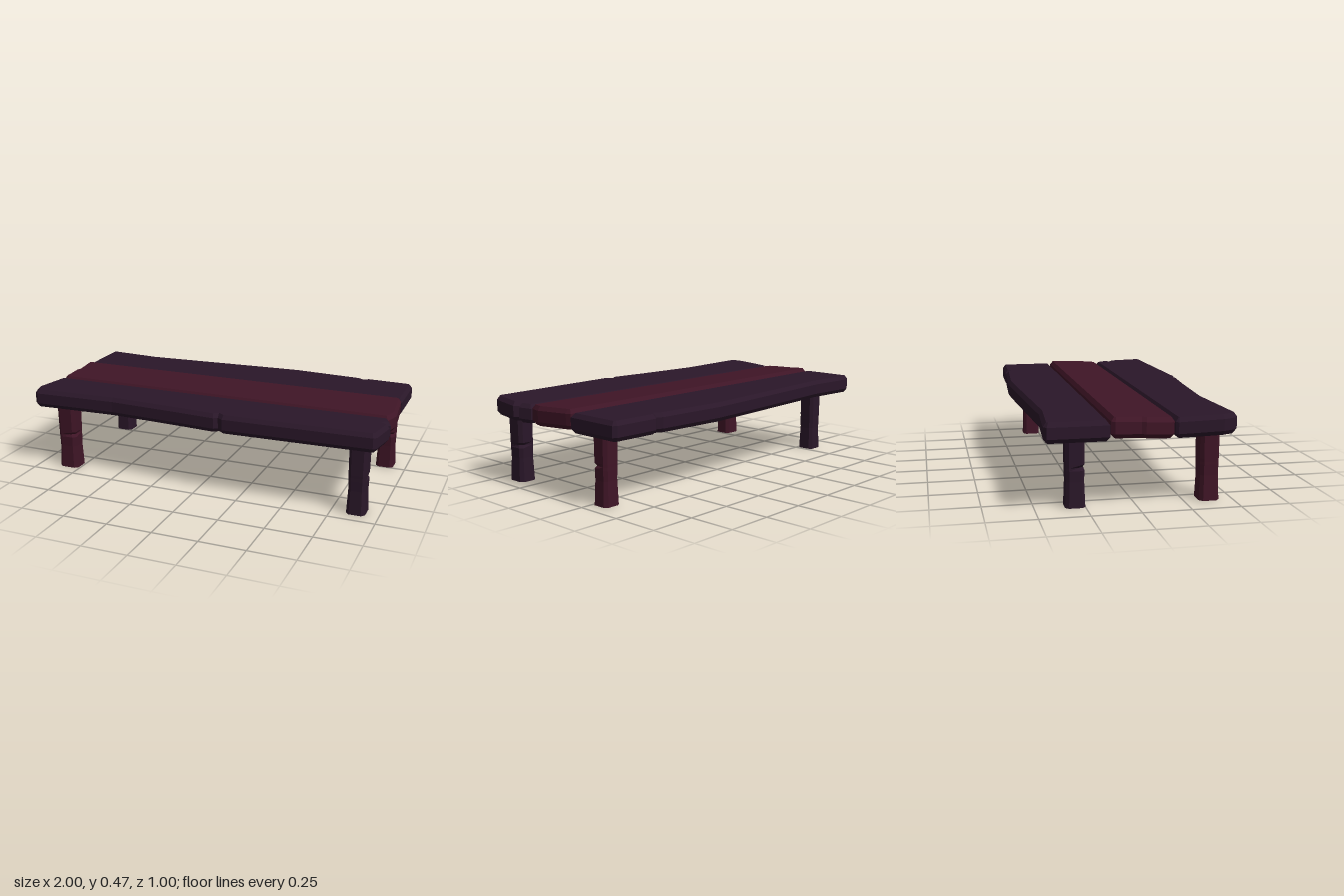
import * as THREE from 'three';

const purple = new THREE.MeshStandardMaterial({ color: 0x2a1729, flatShading: true });
const red = new THREE.MeshStandardMaterial({ color: 0x3f1526, flatShading: true });

// Bevelled board from a plan outline of [x, z] points, tilted across its width
function plank(name, material, outline, top, thickness, slope, zMid) {
  const shape = new THREE.Shape(outline.map(([x, z]) => new THREE.Vector2(x, z)));
  const bevel = 0.022;
  const geo = new THREE.ExtrudeGeometry(shape, {
    depth: thickness - 2 * bevel, bevelEnabled: true, bevelSegments: 1,
    bevelThickness: bevel, bevelSize: 0.016, bevelOffset: -0.016,
  });
  geo.rotateX(Math.PI / 2);
  geo.translate(0, top - bevel, 0);
  const p = geo.attributes.position;
  for (let i = 0; i < p.count; i++) p.setY(i, p.getY(i) + slope * (p.getZ(i) - zMid));
  geo.computeVertexNormals();
  const mesh = new THREE.Mesh(geo, material);
  mesh.name = name;
  return mesh;
}

// Chamfered post with a slight waist and a nick in one edge
function leg(name, material, x, z, width, depth, nickX, nickZ) {
  const rows = [0, 0.13, 0.185, 0.2, 0.215, 0.37];
  const scales = [1, 0.9, 0.93, 0.93, 0.94, 0.97];
  const geo = new THREE.CylinderGeometry(1, 1, 5, 8, 5, false, Math.PI / 8);
  const p = geo.attributes.position;
  const square = v => Math.abs(v) < 0.01 ? 0 : Math.sign(v) * (Math.abs(v) > 0.6 ? 1 : 0.66);
  for (let i = 0; i < p.count; i++) {
    const row = Math.round(p.getY(i) + 2.5);
    let px = square(p.getX(i)) * scales[row];
    let pz = square(p.getZ(i)) * scales[row];
    if (row === 3 && px * nickX > 0 && pz * nickZ > 0) {
      px -= nickX * 0.2;
      pz -= nickZ * 0.2;
    }
    p.setXYZ(i, px * width / 2, rows[row], pz * depth / 2);
  }
  geo.computeVertexNormals();
  const mesh = new THREE.Mesh(geo, material);
  mesh.name = name;
  mesh.position.set(x, 0, z);
  return mesh;
}

export function createModel() {
  const table = new THREE.Group();
  table.name = 'plankTable';

  // Tabletop boards with worn, nicked edges
  table.add(plank('backPlank', purple, [
    [-0.985, -0.155], [-0.985, -0.455], [-0.96, -0.47], [-0.67, -0.448], [0.08, -0.493],
    [0.27, -0.503], [0.66, -0.478], [0.69, -0.46], [0.71, -0.478], [0.955, -0.47],
    [0.975, -0.455], [0.975, -0.155],
  ], 0.453, 0.101, 0, -0.32));
  table.add(plank('middlePlank', red, [
    [-0.985, -0.13], [-0.97, -0.148], [0.97, -0.148], [0.977, -0.12], [0.995, 0.08],
    [0.98, 0.13], [0.965, 0.164], [-0.96, 0.164], [-0.985, 0.145], [-0.985, 0.02], [-0.975, 0],
  ], 0.461, 0.103, -0.043, 0.01));
  table.add(plank('frontPlank', purple, [
    [-0.982, 0.18], [-0.97, 0.167], [0.972, 0.167], [0.997, 0.235], [0.972, 0.257],
    [1, 0.28], [0.977, 0.455], [0.96, 0.474], [0.17, 0.5], [0.14, 0.477],
    [0.12, 0.496], [-0.1, 0.477], [-0.5, 0.452], [-0.96, 0.476], [-0.982, 0.46], [-1, 0.4],
  ], 0.459, 0.102, 0.045, 0.32));

  // Legs, matching in colour across the diagonals
  table.add(leg('frontLeftLeg', purple, 0.88, 0.382, 0.1, 0.114, 1, -1));
  table.add(leg('frontRightLeg', red, -0.818, 0.378, 0.116, 0.104, 1, 1));
  table.add(leg('backLeftLeg', red, 0.88, -0.3, 0.1, 0.1, 1, 1));
  table.add(leg('backRightLeg', purple, -0.818, -0.3, 0.1, 0.1, -1, 1));
  return table;
}
